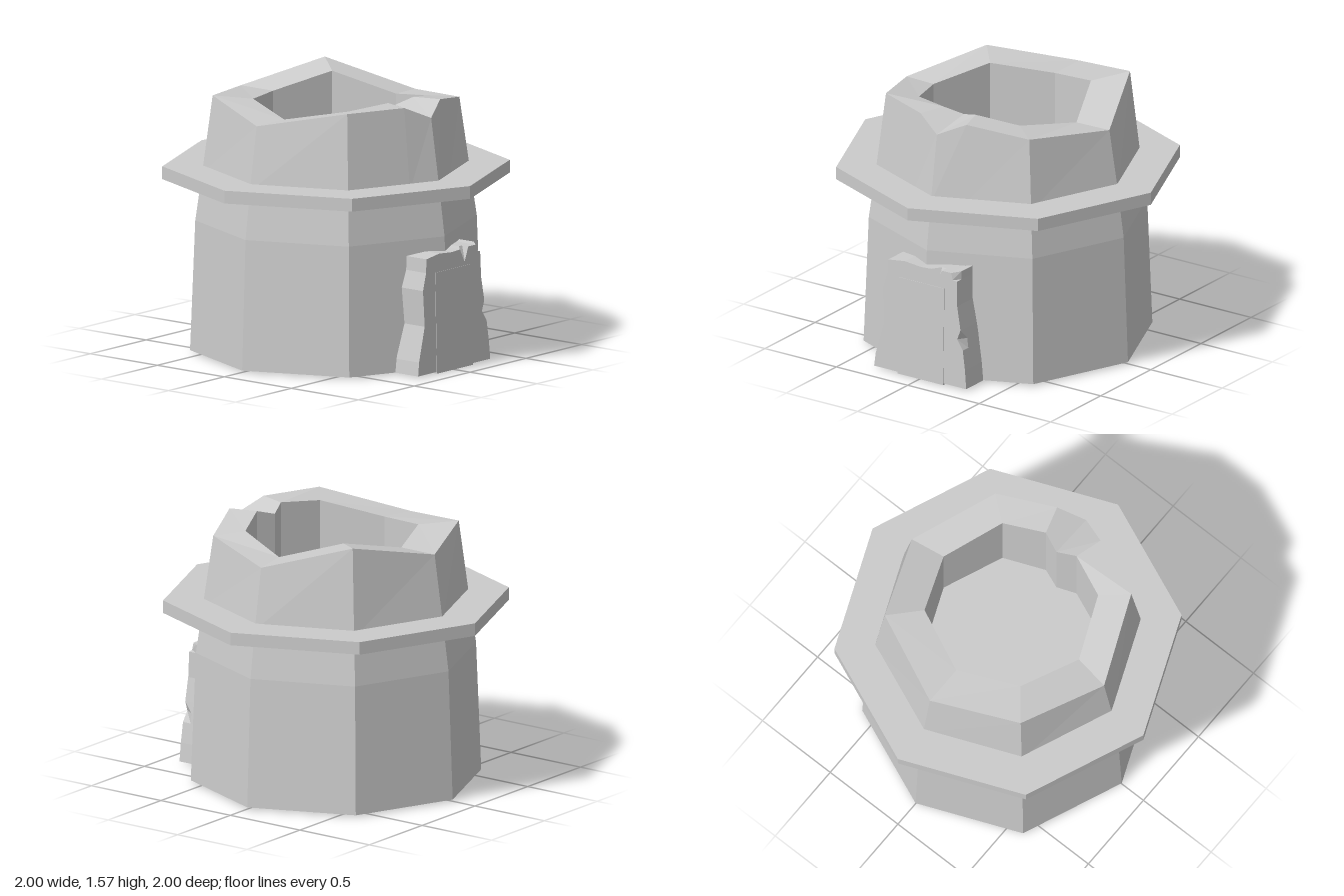
import * as THREE from 'three';

const material = new THREE.MeshStandardMaterial({ color: 0xcccccc, flatShading: true, side: THREE.DoubleSide });

function addMesh(group, name, geometry) {
  const mesh = new THREE.Mesh(geometry, material);
  mesh.name = name;
  group.add(mesh);
  return mesh;
}

// Skin between closed cross-sections that share one point count
function loft(rings) {
  const n = rings[0].length;
  const index = [];
  for (let i = 0; i < rings.length - 1; i++) {
    for (let j = 0; j < n; j++) {
      const k = (j + 1) % n;
      const a = i * n + j, b = i * n + k, c = a + n, d = b + n;
      index.push(a, b, d, a, d, c);
    }
  }
  const geometry = new THREE.BufferGeometry();
  geometry.setAttribute('position', new THREE.Float32BufferAttribute(rings.flat(2), 3));
  geometry.setIndex(index);
  const flat = geometry.toNonIndexed();
  flat.computeVertexNormals();
  return flat;
}

// Octagon corners from the front, with two extra points beside the front corner
const corner = (i) => [Math.sin(i * Math.PI / 4), Math.cos(i * Math.PI / 4)];
function besideFront(i) {
  const [x, z] = corner(i);
  return [x * 0.32, 0.68 + z * 0.32];
}
const outline = [corner(0), besideFront(1), ...[1, 2, 3, 4, 5, 6, 7].map(corner), besideFront(7)];

function octagon(radius, heights, shiftZ = 0) {
  return outline.map(([x, z], i) => [
    x * radius, Array.isArray(heights) ? heights[i] : heights, z * radius + shiftZ,
  ]);
}

function buildTower() {
  // Broken rim heights: front, notch side, then round by the left and back
  const rim = [1.45, 1.525, 1.465, 1.41, 1.565, 1.45, 1.5, 1.42, 1.525, 1.525];
  const innerRim = [1.49, 1.525, 1.48, 1.42, 1.53, 1.45, 1.48, 1.43, 1.5, 1.525];
  const floorY = 0.9;
  const inner = octagon(0.5, innerRim, 0.03);
  const wellFoot = octagon(0.5, floorY, 0.03);
  inner[0][2] = wellFoot[0][2] = 0.44;
  return loft([
    octagon(0.84, 0.01),
    octagon(0.81, 0.77),
    octagon(0.77, 1.05),
    octagon(0.71, rim),
    inner,
    wellFoot,
    octagon(0, floorY),
  ]);
}

function buildDoorFrame() {
  // Each point: front x, y, then the unchipped x, y where it differs
  const points = [
    [-0.32, 0.01], [0.325, 0.01], [0.315, 0.12],
    [0.298, 0.24], [0.258, 0.3, 0.29, 0.3], [0.28, 0.36],
    [0.255, 0.5], [0.25, 0.65], [0.222, 0.655, 0.25, 0.7], [0.21, 0.695],
    [0.145, 0.695], [0.115, 0.6, 0.115, 0.695], [0.07, 0.69],
    [0, 0.685], [-0.115, 0.695], [-0.23, 0.68], [-0.235, 0.6],
    [-0.265, 0.5], [-0.255, 0.29], [-0.31, 0.09],
  ];
  const whole = (z) => points.map(([x, y, wx = x, wy = y]) => [wx, wy, z]);
  const frontZ = (y) => 0.88 - 0.02 * y;
  return loft([
    whole(0.71),
    whole(0.82),
    points.map(([x, y]) => [x, y, frontZ(y)]),
    points.map(() => [0, 0.35, frontZ(0.35)]),
  ]);
}

export function createModel() {
  const group = new THREE.Group();
  group.name = 'ruinedTower';

  addMesh(group, 'towerWall', buildTower());

  // Flat ledge around the tower
  const ledgeProfile = [[0.74, 1.015], [1, 1.015], [1, 1.09], [0.74, 1.09]]
    .map(([r, y]) => new THREE.Vector2(r, y));
  addMesh(group, 'ledge', new THREE.LatheGeometry(ledgeProfile, 8));

  // Chipped doorway, open towards the inside
  addMesh(group, 'doorFrame', buildDoorFrame());

  // Thin door panel, almost flush with the frame
  const panel = addMesh(group, 'doorPanel', new THREE.BoxGeometry(0.32, 0.59, 0.02));
  panel.position.set(0.005, 0.295, 0.867);
  panel.rotation.x = -0.02;

  return group;
}
